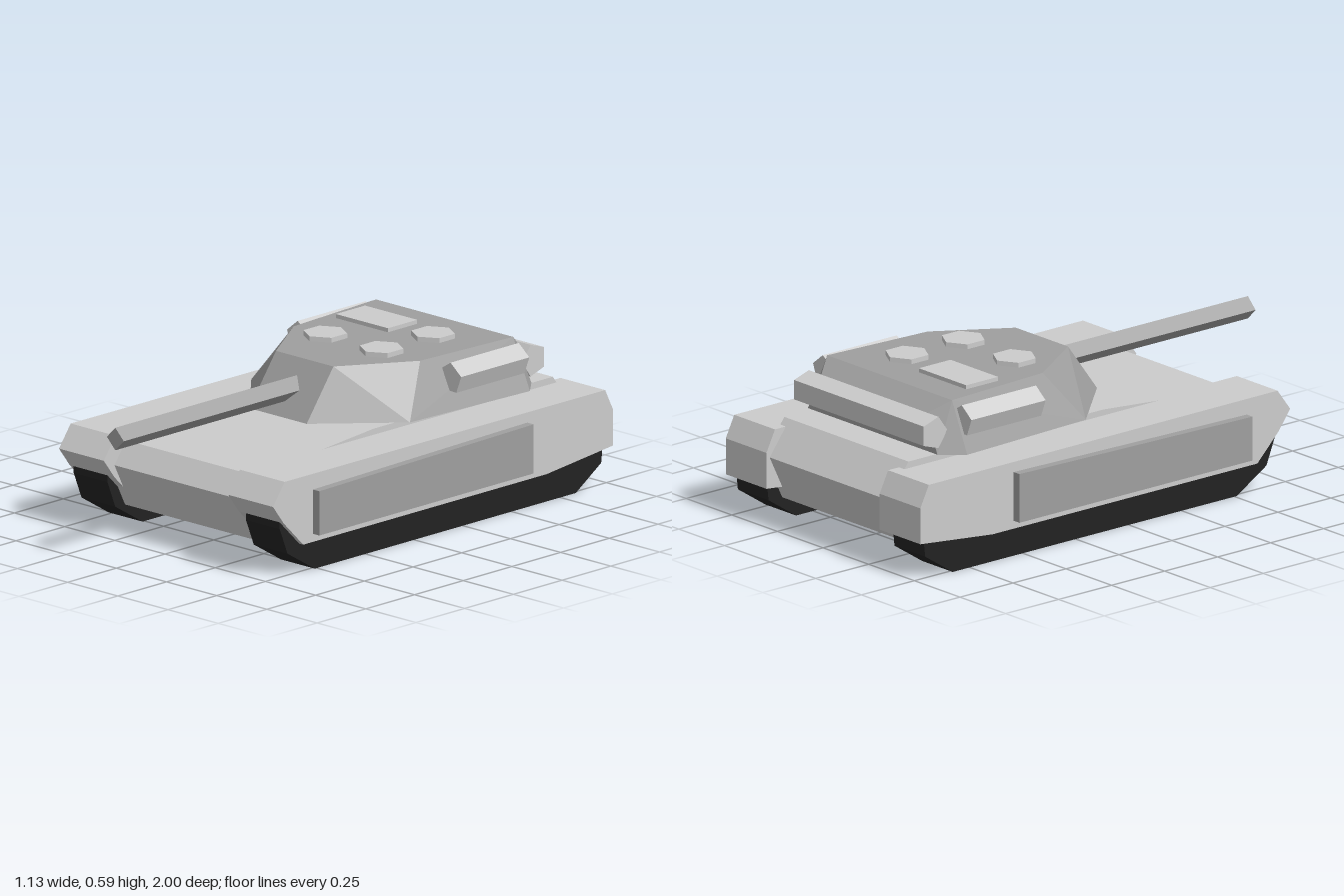
import * as THREE from 'three';
import { ConvexGeometry } from 'three/addons/geometries/ConvexGeometry.js';

const material = (name, color) => {
  const m = new THREE.MeshStandardMaterial({ color });
  m.name = name;
  return m;
};

// Prism with a flat outline, centred along its depth
function prism(points, depth) {
  const shape = new THREE.Shape(points.map(([a, b]) => new THREE.Vector2(a, b)));
  return new THREE.ExtrudeGeometry(shape, { depth, bevelEnabled: false }).translate(0, 0, -depth / 2);
}

// Side profile given as [z, y], extruded across x from x0 to x1
const profile = (points, x0, x1) =>
  prism(points, x1 - x0).rotateY(-Math.PI / 2).translate((x0 + x1) / 2, 0, 0);

// Regular polygon outline, first corner at the given angle in degrees
const polygon = (cx, cy, r, sides, start) => Array.from({ length: sides }, (_, i) => {
  const a = THREE.MathUtils.degToRad(start + (360 / sides) * i);
  return [cx + r * Math.cos(a), cy + r * Math.sin(a)];
});

export function createModel() {
  const model = new THREE.Group();
  model.name = 'tank';
  const light = material('light grey', 0xcccccc);
  const mid = material('mid grey', 0x9f9f9f);
  const black = material('track black', 0x222222);

  const add = (name, geometry, mat, parent = model) => {
    const mesh = new THREE.Mesh(geometry, mat);
    mesh.name = name;
    parent.add(mesh);
    return mesh;
  };

  // Central hull
  add('hull', profile([
    [0.605, 0.085], [0.69, 0.255], [0.63, 0.335], [0.03, 0.385],
    [-0.89, 0.385], [-0.985, 0.26], [-0.9, 0.085],
  ], -0.34, 0.34), light);

  // Fenders, side panels and tracks on both sides
  const fender = [
    [0.745, 0.283], [0.685, 0.364], [-0.96, 0.36], [-1, 0.28],
    [-1, 0.145], [-0.66, 0.11], [0.59, 0.11], [0.69, 0.21],
  ];
  const panel = [[0.54, 0.14], [0.54, 0.305], [-0.56, 0.323], [-0.56, 0.14]];
  const track = [
    [0.69, 0.21], [0.69, 0.185], [0.65, 0.085], [0.51, 0], [-0.83, 0],
    [-0.96, 0.085], [-0.975, 0.21],
  ];
  for (const [side, s] of [['left', 1], ['right', -1]]) {
    const span = (points, a, b) => profile(points, Math.min(s * a, s * b), Math.max(s * a, s * b));
    add(`${side}Fender`, span(fender, 0.31, 0.533), light);
    add(`${side}SidePanel`, span(panel, 0.52, 0.565), mid);
    add(`${side}Track`, span(track, 0.345, 0.513), black);
  }

  // Faceted turret, slightly off centre
  const turret = new THREE.Group();
  turret.name = 'turret';
  turret.position.x = -0.005;
  model.add(turret);
  const corners = [
    [0.143, 0.575, 0.028], [0.315, 0.575, -0.24], [0.342, 0.575, -0.69], [0.285, 0.525, -0.77],
    [0.143, 0.39, 0.165], [0.395, 0.39, -0.105], [0.425, 0.39, -0.69], [0.355, 0.39, -0.77],
  ].flatMap(([x, y, z]) => [new THREE.Vector3(x, y, z), new THREE.Vector3(-x, y, z)]);
  add('turretBody', new ConvexGeometry(corners), mid, turret);

  // Diamond section gun barrel
  add('gunBarrel', prism(polygon(0, 0.48, 0.042, 4, 0), 1).translate(0, 0, 0.5), mid, turret);

  // Five-sided stowage rolls on the sides and rear
  for (const [side, s] of [['left', 1], ['right', -1]]) {
    const outline = polygon(s * 0.378, 0.505, 0.058, 5, s > 0 ? 87 : 93);
    add(`${side}StowageRoll`, prism(outline, 0.35).translate(0, 0, -0.503), light, turret);
  }
  add('rearStowageRoll', profile(polygon(-0.785, 0.473, 0.062, 5, 0), -0.355, 0.355), light, turret);

  // Roof hatches
  for (const [x, z] of [[0.137, -0.49], [0.137, -0.225], [-0.143, -0.225]]) {
    const hatch = new THREE.CylinderGeometry(0.081, 0.081, 0.03, 6).toNonIndexed();
    hatch.computeVertexNormals();
    add('roundHatch', hatch.translate(x, 0.578, z), light, turret);
  }
  add('rectangularHatch', new THREE.BoxGeometry(0.26, 0.03, 0.15).translate(-0.15, 0.575, -0.495), light, turret);

  return model;
}
